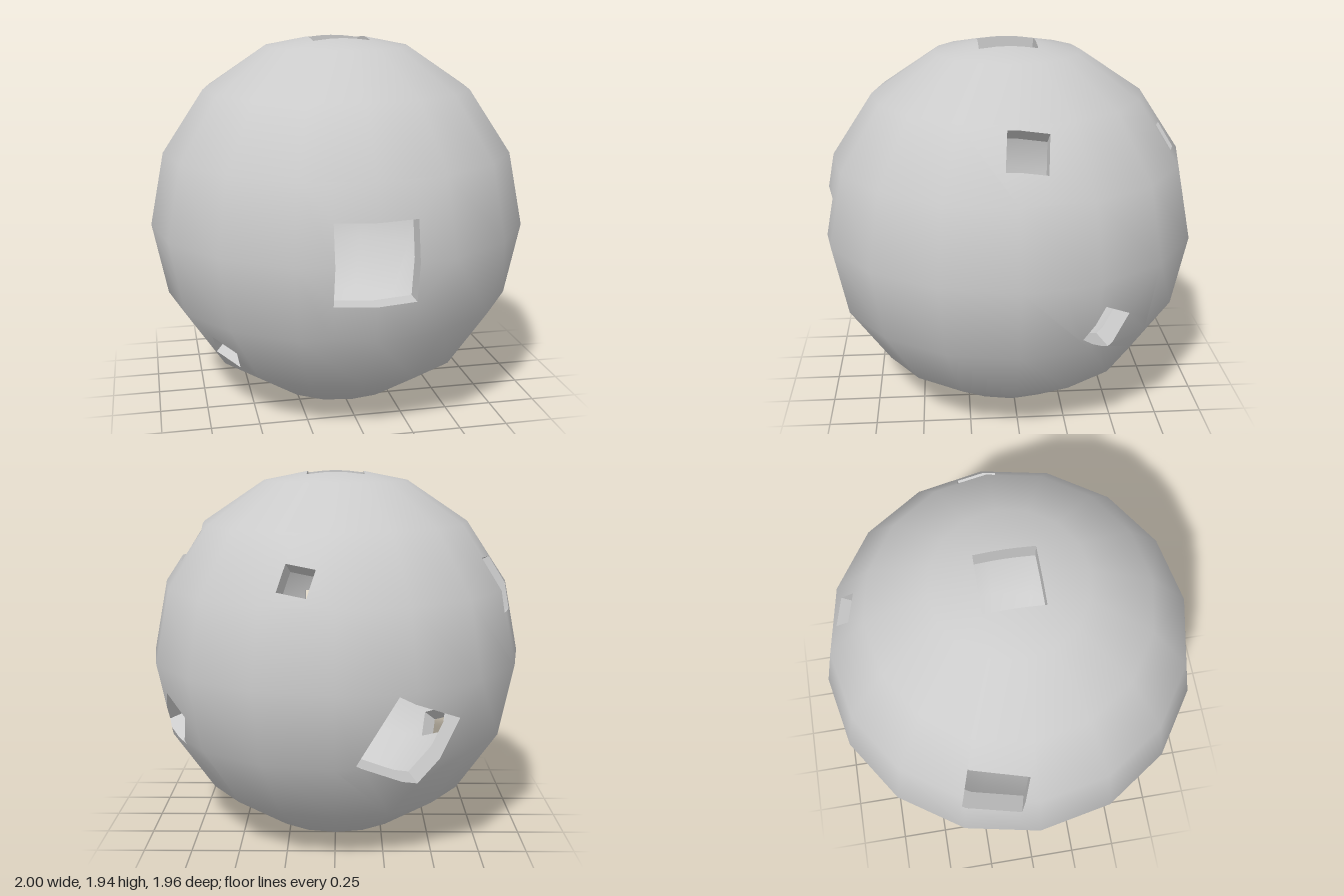
import * as THREE from 'three';

const OUTER = 1, INNER = 0.9;
const V = (x, y, z) => new THREE.Vector3(x, y, z);

// Square openings: direction from the centre, direction of one side, side length
const openings = [
  ['top', [0, 1, 0], [1, 0, 0], 0.3],
  ['bottom', [0, -1, 0], [1, 0, 0], 0.3],
  ['front', [0, 0, 1], [1, 0, 0], 0.4],
  ['upperLeft', [0.765, 0.594, -0.047], [0.055, 0.13, 0.985], 0.2],
  ['lowerLeft', [0.848, -0.286, -0.447], [0, -0.17, 0.115], 0.2],
  ['upperBack', [0.183, 0.51, -0.835], [0.134, 0.02, 0.043], 0.15],
  ['upperRight', [-0.861, 0.405, -0.211], [-0.08, -0.025, 0.289], 0.3],
  ['lowerBack', [-0.37, -0.285, -0.855], [-0.308, -0.161, 0.193], 0.4],
  ['lowerRight', [-0.67, -0.605, 0.416], [0.108, -0.053, 0.09], 0.16],
].map(([name, dir, side, size]) => {
  const d = V(...dir).normalize();
  const u = V(...side).projectOnPlane(d).normalize();
  const v = d.clone().cross(u);
  const h = size / 2;
  const planes = [[u, h], [u.clone().negate(), h], [v, h], [v.clone().negate(), h], [d.clone().negate(), 0]];
  return { name, d, u, v, h, planes };
});

// Triangles of the faceted unit ball
function ballFacets() {
  const pos = new THREE.SphereGeometry(1, 16, 8).toNonIndexed().attributes.position;
  const tris = [];
  for (let i = 0; i < pos.count; i += 3) {
    tris.push([0, 1, 2].map(k => new THREE.Vector3().fromBufferAttribute(pos, i + k)));
  }
  return tris;
}

// Split a convex polygon by the plane n.p = c into [inside, outside]
function split(poly, n, c) {
  const inside = [], outside = [];
  poly.forEach((a, i) => {
    const b = poly[(i + 1) % poly.length];
    const da = n.dot(a) - c, db = n.dot(b) - c;
    if (da <= 1e-7) inside.push(a);
    if (da >= -1e-7) outside.push(a);
    if ((da < -1e-7 && db > 1e-7) || (da > 1e-7 && db < -1e-7)) {
      const p = a.clone().lerp(b, da / (da - db));
      inside.push(p);
      outside.push(p);
    }
  });
  return [inside, outside];
}

// Remove the square prism of one opening from a polygon
function cut(poly, hole) {
  const kept = [];
  let rest = poly;
  for (const [n, c] of hole.planes) {
    const [inside, outside] = split(rest, n, c);
    if (inside.length < 3) return [poly];
    if (outside.length > 2) kept.push(outside);
    rest = inside;
  }
  return kept;
}

function makeMesh(name, points, normals) {
  const g = new THREE.BufferGeometry().setFromPoints(points);
  if (normals) g.setAttribute('normal', new THREE.Float32BufferAttribute(normals.flatMap(n => n.toArray()), 3));
  else g.computeVertexNormals();
  const mesh = new THREE.Mesh(g, new THREE.MeshStandardMaterial({ color: 0xcccccc }));
  mesh.name = name;
  return mesh;
}

// One smooth-shaded skin of the hollow ball with the openings cut out
function makeSkin(name, facets, radius, flip) {
  let polys = facets.map(t => t.map(p => p.clone().multiplyScalar(radius)));
  for (const hole of openings) polys = polys.flatMap(p => cut(p, hole));
  const points = [];
  for (const p of polys) {
    for (let i = 1; i < p.length - 1; i++) {
      points.push(p[0], ...(flip ? [p[i + 1], p[i]] : [p[i], p[i + 1]]));
    }
  }
  const normals = points.map(p => p.clone().normalize().multiplyScalar(flip ? -1 : 1));
  return makeMesh(name, points, normals);
}

// Four walls lining an opening, from the outer skin to the inner one
function makeWalls(hole, facetPlanes) {
  const { d, u, v, h } = hole;
  const onSkin = (q, radius) => {
    let t = Infinity;
    for (const f of facetPlanes) {
      const slope = f.normal.dot(d);
      if (slope > 1e-4) t = Math.min(t, (-f.constant * radius - f.normal.dot(q)) / slope);
    }
    return q.clone().addScaledVector(d, t);
  };
  const corners = [[-1, -1], [1, -1], [1, 1], [-1, 1]].map(([a, b]) =>
    V(0, 0, 0).addScaledVector(u, a * h).addScaledVector(v, b * h));
  const points = [], steps = 16;
  corners.forEach((a, k) => {
    const b = corners[(k + 1) % 4];
    for (let i = 0; i < steps; i++) {
      const p = a.clone().lerp(b, i / steps), q = a.clone().lerp(b, (i + 1) / steps);
      const po = onSkin(p, OUTER), qo = onSkin(q, OUTER);
      const pi = onSkin(p, INNER), qi = onSkin(q, INNER);
      points.push(po, qo, qi, po, qi, pi);
    }
  });
  return makeMesh(hole.name + 'OpeningWalls', points);
}

export function createModel() {
  const group = new THREE.Group();
  group.name = 'hollowBall';
  const facets = ballFacets();
  const facetPlanes = facets.map(t => new THREE.Plane().setFromCoplanarPoints(...t));
  group.add(makeSkin('outerShell', facets, OUTER, false));
  group.add(makeSkin('innerShell', facets, INNER, true));
  for (const hole of openings) group.add(makeWalls(hole, facetPlanes));
  group.position.set(0, 0.97, 0.02);
  return group;
}
